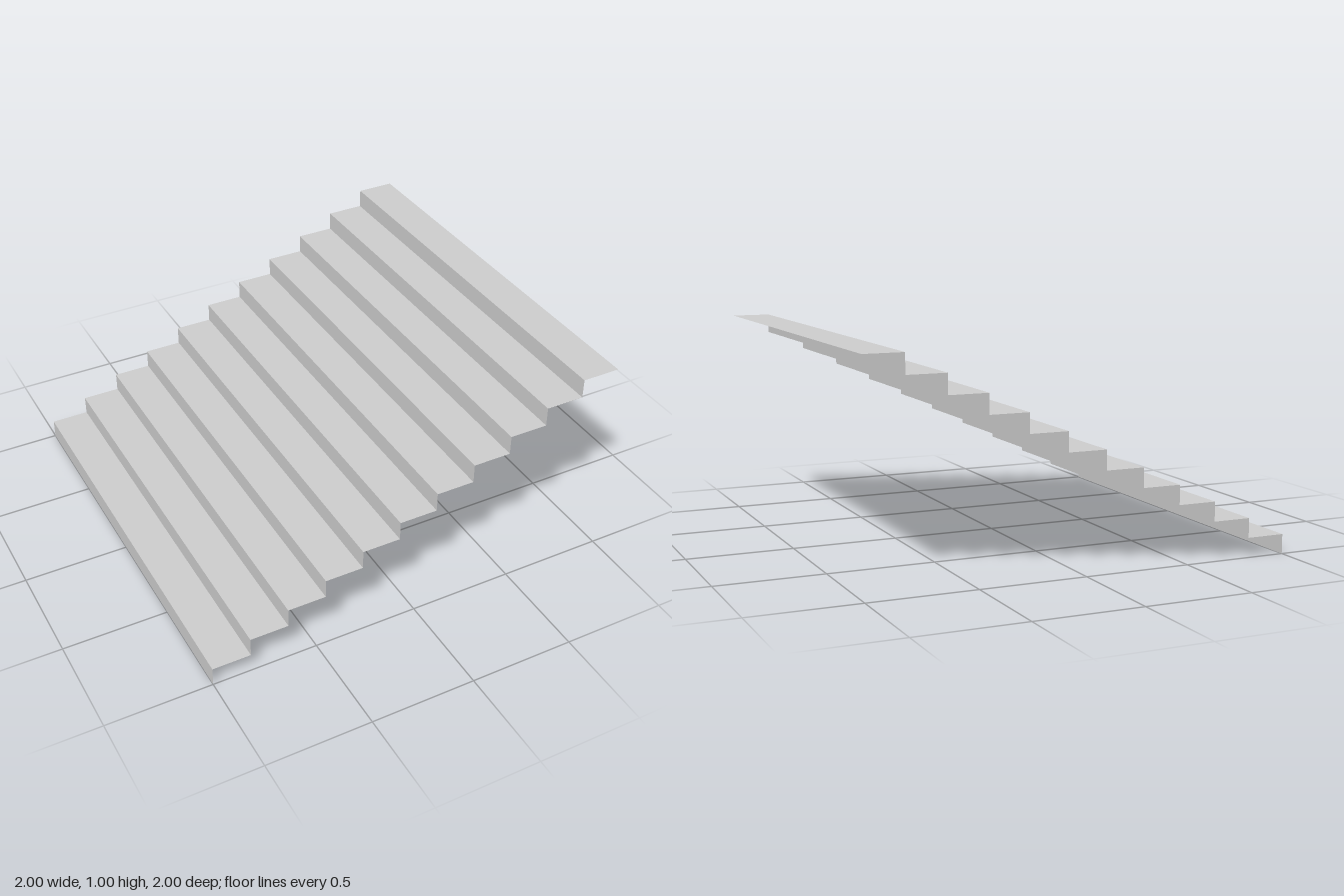
import * as THREE from 'three';

const STEPS = 11;
const LENGTH = 2, HEIGHT = 1, WIDTH = 2;

export function createModel() {
  const group = new THREE.Group();
  group.name = 'staircase';
  const material = new THREE.MeshStandardMaterial({
    color: 0xcccccc, flatShading: true, side: THREE.DoubleSide,
  });
  const run = LENGTH / STEPS, rise = HEIGHT / STEPS;

  // Thin sheets: treads face up, risers face the foot of the stairs (-x)
  const treadGeometry = new THREE.PlaneGeometry(run, WIDTH).rotateX(-Math.PI / 2);
  const riserGeometry = new THREE.PlaneGeometry(WIDTH, rise).rotateY(-Math.PI / 2);

  const addSheet = (name, geometry, x, y) => {
    const mesh = new THREE.Mesh(geometry, material);
    mesh.name = name;
    mesh.position.set(x, y, 0);
    group.add(mesh);
  };

  // Each step is a riser followed by a tread, climbing toward +x
  for (let i = 0; i < STEPS; i++) {
    const x = -LENGTH / 2 + i * run;
    addSheet(`riser${i + 1}`, riserGeometry, x, (i + 0.5) * rise);
    addSheet(`tread${i + 1}`, treadGeometry, x + run / 2, (i + 1) * rise);
  }
  return group;
}
